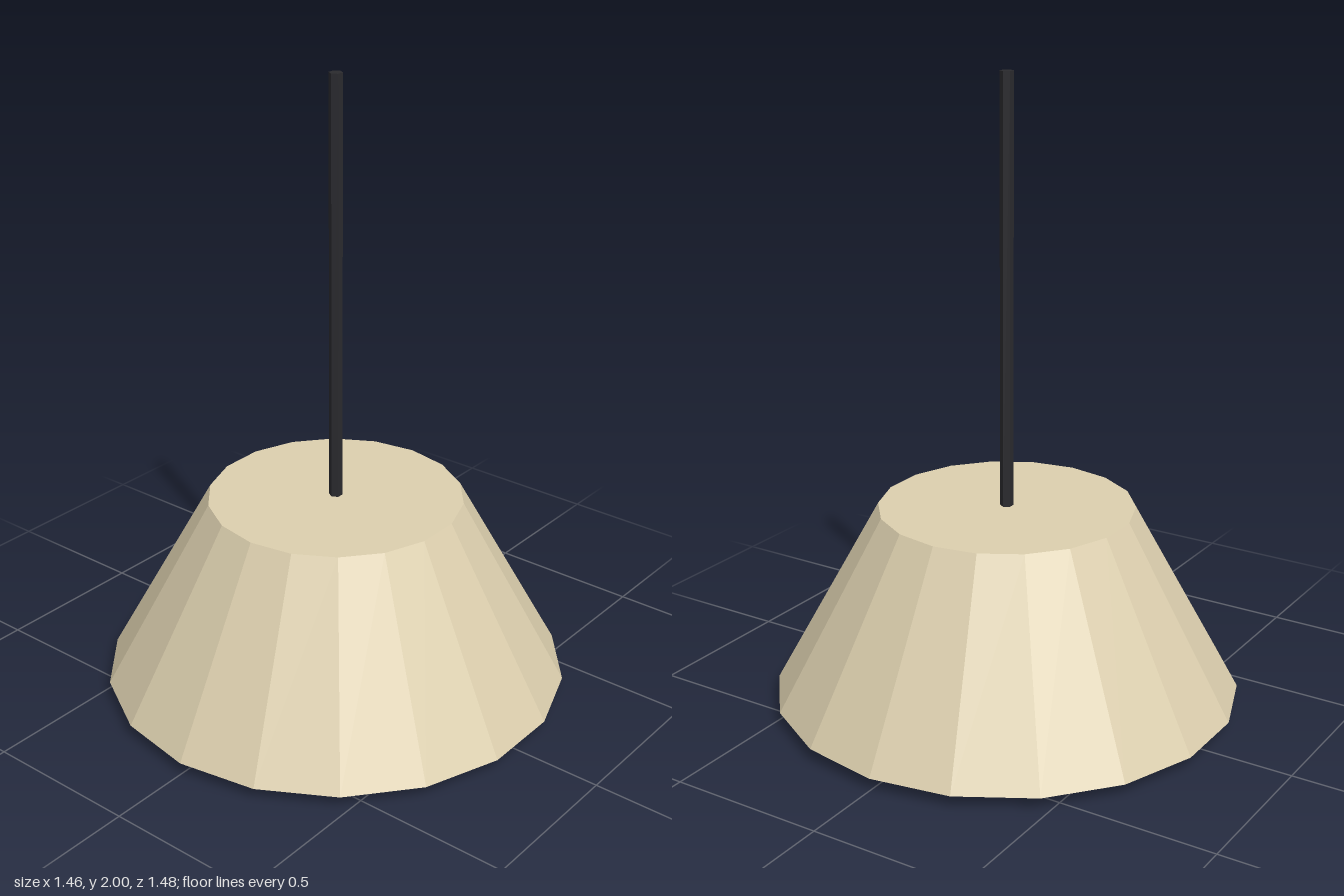
import * as THREE from 'three';

export function createModel() {
  const model = new THREE.Group();
  model.name = 'pendantLamp';

  const cream = new THREE.MeshStandardMaterial({ color: 0xdccfae, flatShading: true });
  cream.name = 'cream';
  const black = new THREE.MeshStandardMaterial({ color: 0x2a2a2e, flatShading: true });
  black.name = 'black';

  const add = (name, geometry, material, y) => {
    const mesh = new THREE.Mesh(geometry, material);
    mesh.name = name;
    mesh.position.y = y;
    model.add(mesh);
  };

  // Closed, faceted conical shade
  const shadeBottom = 0.04, shadeTop = 0.65;
  add('shade', new THREE.CylinderGeometry(0.405, 0.742, shadeTop - shadeBottom, 18),
    cream, (shadeBottom + shadeTop) / 2);

  // Hanging cord
  add('cord', new THREE.CylinderGeometry(0.021, 0.021, 2 - shadeTop, 6), black, (2 + shadeTop) / 2);

  // Low-poly bulb whose tip peeks out below the shade
  const radius = 0.152, rings = 5;
  const profile = [];
  for (let i = 0; i <= rings; i++) {
    const a = (i / rings) * Math.PI;
    profile.push(new THREE.Vector2(radius * Math.sin(a), -radius * Math.cos(a)));
  }
  add('bulb', new THREE.LatheGeometry(profile, 10), cream, radius);

  return model;
}
